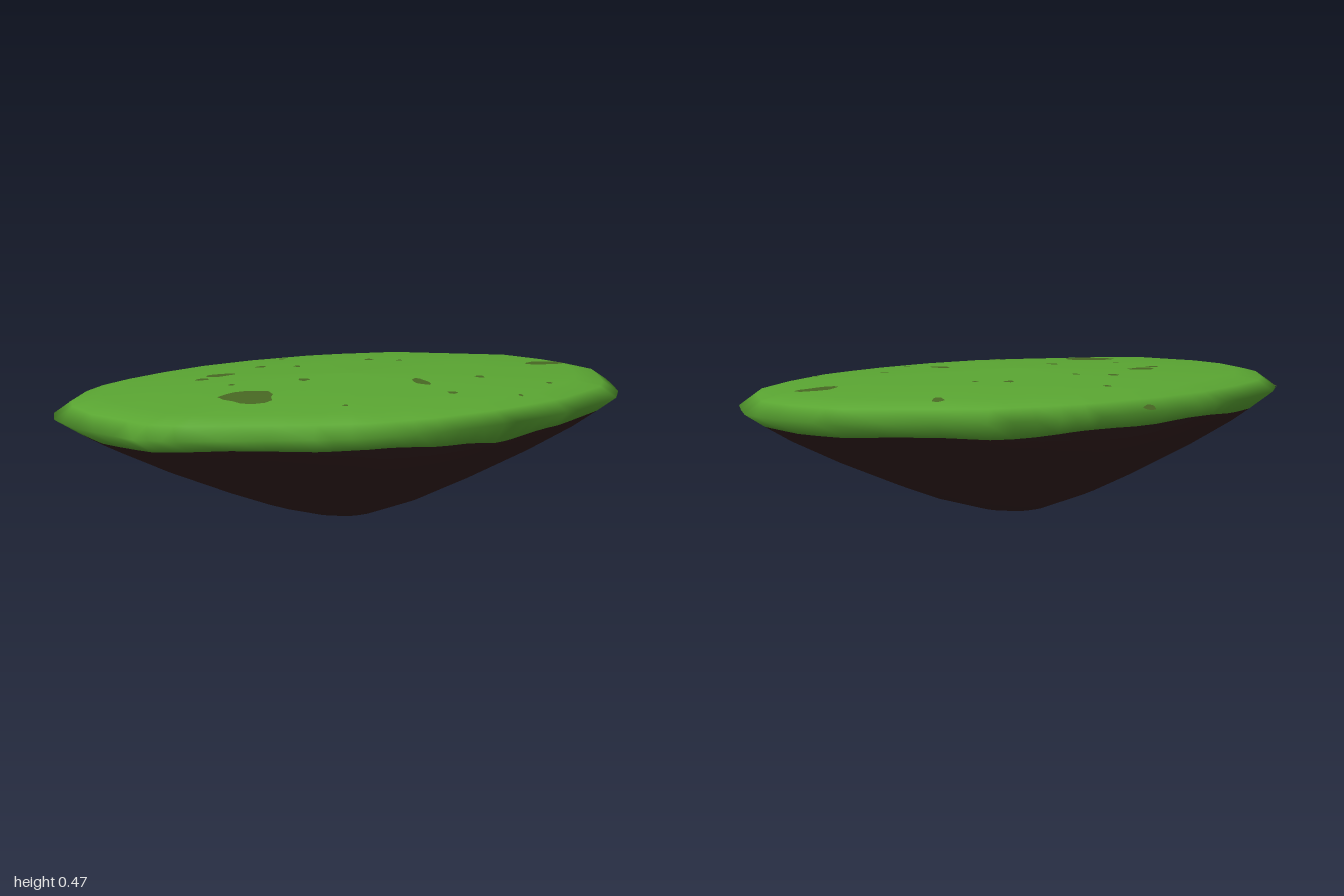
import * as THREE from 'three';

// Rim outline (x, z), counter-clockwise from above
const OUTLINE = [
  [1, 0.02], [0.97, -0.14], [0.88, -0.31], [0.48, -0.57], [0.24, -0.62], [0.1, -0.635], [-0.17, -0.62],
  [-0.4, -0.575], [-0.6, -0.5], [-0.78, -0.41], [-0.87, -0.32], [-0.97, -0.17], [-1, -0.06], [-0.98, 0.1],
  [-0.87, 0.34], [-0.76, 0.42], [-0.37, 0.57], [-0.2, 0.62], [0.04, 0.625], [0.28, 0.59], [0.45, 0.545],
  [0.61, 0.49], [0.84, 0.35], [0.91, 0.25], [0.96, 0.13],
];
// Profiles as [scale of the outline, height]
const TOP = [[0, 0.475], [0.5, 0.461], [0.84, 0.446], [0.94, 0.424], [1, 0.385]];
const UNDER = [[0.84, 0.285], [0.67, 0.2], [0.45, 0.105], [0.3, 0.048], [0.13, 0.002], [0, 0]];

// Bare spots: x, z, half width, half depth
const SPOTS = [
  [-0.44, 0.21, 0.09, 0.095], [-0.39, -0.18, 0.055, 0.028], [-0.47, -0.135, 0.025, 0.02],
  [-0.2, -0.28, 0.02, 0.018], [-0.09, -0.22, 0.012, 0.018], [-0.05, -0.455, 0.013, 0.015],
  [0.2, -0.26, 0.018, 0.017], [0.29, -0.2, 0.011, 0.012], [0.55, -0.4, 0.02, 0.018],
  [0.76, -0.01, 0.08, 0.036], [0.17, 0.215, 0.025, 0.055], [0.4, 0.195, 0.016, 0.018],
  [0.2, 0.385, 0.017, 0.018], [0.59, 0.33, 0.012, 0.012], [0.41, 0.46, 0.008, 0.008],
  [-0.2, 0.43, 0.01, 0.01], [-0.18, 0.05, 0.02, 0.022], [-0.42, 0.01, 0.012, 0.012],
  [-0.86, -0.32, 0.012, 0.012], [-0.1, -0.614, 0.025, 0.008],
];

// Outline with every edge split in three
const rim = OUTLINE.flatMap(([x, z], i) => {
  const [x2, z2] = OUTLINE[(i + 1) % OUTLINE.length];
  return [0, 1 / 3, 2 / 3].map((f) => [x + (x2 - x) * f, z + (z2 - z) * f]);
});

function makeGeometry(points, index) {
  const g = new THREE.BufferGeometry();
  g.setAttribute('position', new THREE.Float32BufferAttribute(points, 3));
  g.setIndex(index);
  g.computeVertexNormals();
  return g;
}

// Skin over rings; each row maps a rim point to [scale, height]
function loft(rows) {
  const n = rim.length, points = [], index = [];
  rows.forEach((row, r) => rim.forEach(([x, z], i) => {
    const [t, y] = row(x, z);
    points.push(x * t, y, z * t);
    if (r === rows.length - 1) return;
    const j = (i + 1) % n, a = r * n + i, b = a + n, c = (r + 1) * n + j, d = r * n + j;
    index.push(a, b, c, a, c, d);
  }));
  return makeGeometry(points, index);
}

// Wavy lower edge of the grass, hanging lowest at the front left
function border(x, z) {
  const a = Math.atan2(z, x);
  const y = 0.335 + 0.007 * Math.sin(3 * a + 1) + 0.005 * Math.sin(8 * a)
    - 0.03 * Math.exp(-(((a - 1.0) / 0.17) ** 2));
  return [1 - (0.385 - y) * 1.6, y];
}

// Height of the grass surface
function topHeight(x, z) {
  let t = 0;
  OUTLINE.forEach(([x1, z1], i) => {
    const [x2, z2] = OUTLINE[(i + 1) % OUTLINE.length];
    const nx = z1 - z2, nz = x2 - x1;
    t = Math.max(t, (x * nx + z * nz) / (x1 * nx + z1 * nz));
  });
  const k = Math.max(1, TOP.findIndex(([s]) => s >= Math.min(t, 1)));
  const [t0, y0] = TOP[k - 1], [t1, y1] = TOP[k];
  return y0 + (y1 - y0) * (Math.min(t, 1) - t0) / (t1 - t0);
}

// Thin ragged patch lying on the grass
function spotGeometry([x, z, rx, rz], seed) {
  const n = 14, points = [x, topHeight(x, z) + 0.004, z], index = [];
  for (let i = 0; i < n; i++) {
    const a = (i / n) * Math.PI * 2;
    const k = 0.94 + 0.1 * Math.sin(3 * a + seed) + 0.06 * Math.sin(5 * a + seed * 2);
    const px = x + Math.cos(a) * rx * k, pz = z - Math.sin(a) * rz * k;
    points.push(px, topHeight(px, pz) + 0.004, pz);
    index.push(0, i + 1, ((i + 1) % n) + 1);
  }
  return makeGeometry(points, index);
}

export function createModel() {
  const material = (name, color) => {
    const m = new THREE.MeshStandardMaterial({ color });
    m.name = name;
    return m;
  };
  const grass = material('grass', 0x5aa632);
  const soil = material('soil', 0x352020);
  const moss = material('bareMoss', 0x486823);

  const group = new THREE.Group();
  group.name = 'floatingIsland';
  const add = (name, geometry, mat, parent = group) => {
    const mesh = new THREE.Mesh(geometry, mat);
    mesh.name = name;
    parent.add(mesh);
  };

  // Grass cap wraps over the rim to the wavy border
  add('grassCap', loft([...TOP.map((p) => () => p), border]), grass);

  // Soil underside, a little steeper across the depth
  const under = UNDER.map(([t, y]) => (x, z) => {
    const c2 = (x * x) / (x * x + z * z);
    return [t, Math.max(0, y + 0.06 * t * (1 - t) * (c2 - 0.5))];
  });
  add('soilUnderside', loft([border, ...under]), soil);

  // Bare spots
  const spots = new THREE.Group();
  spots.name = 'bareSpots';
  SPOTS.forEach((s, i) => add(`bareSpot${i + 1}`, spotGeometry(s, i * 1.7), moss, spots));
  group.add(spots);
  return group;
}
